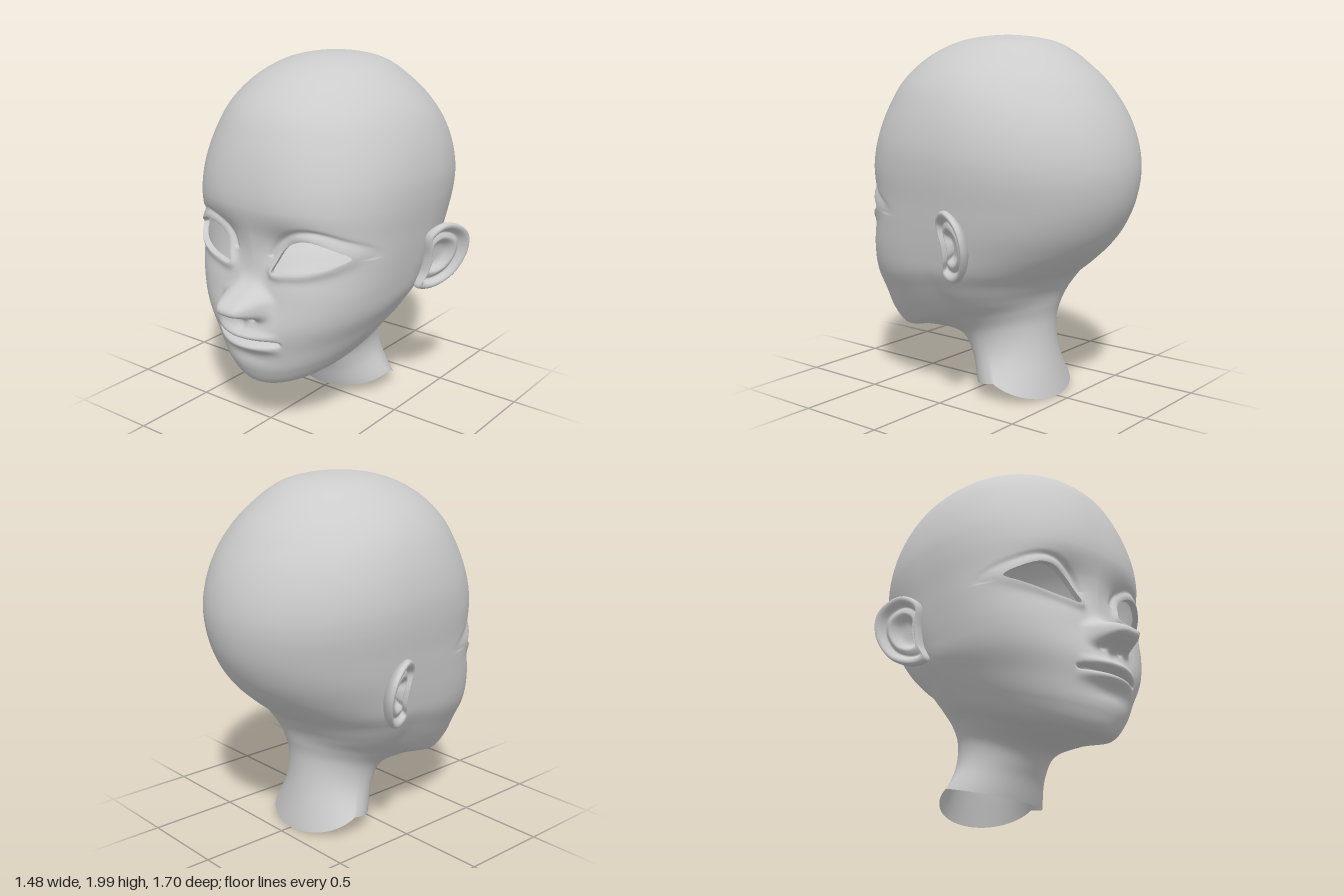
import * as THREE from 'three';
import { mergeVertices } from 'three/addons/utils/BufferGeometryUtils.js';

const material = new THREE.MeshStandardMaterial({ color: 0xcccccc, side: THREE.DoubleSide });

// Rings from crown to neck: front z,y | back z,y | side x,y,z | squareness of the front half
const RINGS = [
  [-0.13, 2.0, -0.13, 2.0, 0, 2.0, -0.13, 2],
  [0.14, 1.98, -0.39, 1.95, 0.24, 1.965, -0.13, 2],
  [0.35, 1.9, -0.6, 1.8, 0.41, 1.86, -0.13, 2.05],
  [0.51, 1.77, -0.72, 1.655, 0.53, 1.73, -0.13, 2.1],
  [0.596, 1.62, -0.795, 1.52, 0.6, 1.58, -0.13, 2.2],
  [0.65, 1.45, -0.84, 1.38, 0.635, 1.42, -0.12, 2.35],
  [0.668, 1.29, -0.85, 1.25, 0.636, 1.28, -0.11, 2.5],
  [0.64, 1.13, -0.825, 1.11, 0.615, 1.11, -0.08, 2.7],
  [0.635, 0.98, -0.765, 0.98, 0.597, 0.98, -0.05, 2.9],
  [0.66, 0.82, -0.68, 0.87, 0.575, 0.85, 0, 2.85],
  [0.69, 0.66, -0.57, 0.77, 0.55, 0.75, 0.02, 2.5],
  [0.685, 0.52, -0.49, 0.705, 0.5, 0.66, 0.02, 2.25],
  [0.665, 0.38, -0.44, 0.645, 0.45, 0.59, 0, 2.1],
  [0.59, 0.285, -0.41, 0.595, 0.39, 0.52, -0.02, 2],
  [0.41, 0.312, -0.39, 0.53, 0.31, 0.45, -0.05, 2],
  [0.2, 0.308, -0.372, 0.43, 0.25, 0.37, -0.1, 2],
  [0.1, 0.2, -0.382, 0.27, 0.248, 0.25, -0.14, 2],
  [0.035, 0.055, -0.43, 0.015, 0.31, 0.12, -0.22, 2],
];

// Outline of the left eye opening (x, y)
const EYE = new THREE.CatmullRomCurve3([
  [0.143, 0.957], [0.25, 0.961], [0.355, 0.98], [0.46, 1.02], [0.514, 1.063],
  [0.434, 1.122], [0.355, 1.15], [0.276, 1.14], [0.196, 1.085], [0.16, 1.015],
].map(([x, y]) => new THREE.Vector3(x, y, 0)), true).getPoints(60);

const gauss = (a, s) => Math.exp(-((a / s) ** 2));

// Signed distance to the eye outline, negative inside the opening
function eyeDistance(x, y, z) {
  x = Math.abs(x);
  if (z < 0.15 || y < 0.8 || y > 1.3) return 1;
  let best = 1, inside = false;
  for (let i = 0; i < EYE.length - 1; i++) {
    const a = EYE[i], b = EYE[i + 1], dx = b.x - a.x, dy = b.y - a.y;
    const t = THREE.MathUtils.clamp(((x - a.x) * dx + (y - a.y) * dy) / (dx * dx + dy * dy || 1), 0, 1);
    best = Math.min(best, Math.hypot(x - a.x - t * dx, y - a.y - t * dy));
    if ((a.y > y) !== (b.y > y) && x < a.x + ((y - a.y) / dy) * dx) inside = !inside;
  }
  return inside ? -best : best;
}

// Facial relief added to the smooth skull, measured along z
function relief(x, y, z) {
  const ax = Math.abs(x);
  const mask = THREE.MathUtils.smoothstep(z, 0.1, 0.3);
  if (!mask || y < 0.3 || y > 1.5) return 0;
  // eye sockets and lids
  let d = -0.055 * gauss(ax - 0.24, 0.15) * gauss(y - 1.08, 0.11);
  const e = eyeDistance(x, y, z);
  d += 0.022 * gauss(e, 0.03);
  if (y > 1.04) d -= 0.012 * gauss(e - 0.048, 0.014);
  // nose: narrow bridge opening into a broad tip
  const up = y - 0.78;
  const tip = up > 0 ? gauss(up, 0.072) : Math.exp(-((-up / 0.063) ** 3));
  const width = 0.125 - 0.045 * THREE.MathUtils.smoothstep(y, 0.8, 0.9);
  d += 0.182 * tip * Math.exp(-((ax / width) ** 4));
  d -= 0.045 * gauss(ax - 0.06, 0.026) * gauss(y - 0.718, 0.02);
  // muzzle, philtrum, lips and the line between them
  d += 0.03 * gauss(x, 0.17) * gauss(y - 0.61, 0.1);
  d -= 0.008 * gauss(x, 0.025) * gauss(y - 0.66, 0.03);
  const span = Math.max(0, 1 - (ax / 0.215) ** 2);
  d += span * (0.032 * gauss(y - 0.612, 0.026) + 0.034 * gauss(y - 0.543, 0.026));
  d -= 0.045 * Math.min(1, span * 3) * gauss(y - 0.579, 0.011);
  d -= 0.01 * gauss(x, 0.14) * gauss(y - 0.475, 0.035);
  return d * mask;
}

// Smooth interpolation between rings; the crown mirrors its first ring so it closes round
function ringAt(i, t) {
  const n = RINGS.length, r = RINGS[1];
  const mirrored = [r[2], r[3], r[0], r[1], -r[4], r[5], r[6], r[7]];
  const p1 = RINGS[i], p2 = RINGS[i + 1];
  const p0 = i ? RINGS[i - 1] : mirrored;
  const p3 = i + 2 < n ? RINGS[i + 2] : p2.map((v, k) => 2 * v - p1[k]);
  return p1.map((v, k) => 0.5 * (2 * v + (p2[k] - p0[k]) * t
    + (2 * p0[k] - 5 * v + 4 * p2[k] - p3[k]) * t * t
    + (3 * v - p0[k] - 3 * p2[k] + p3[k]) * t * t * t));
}

function headPoint(ring, theta) {
  const [fz, fy, bz, by, w, sy, sz, n] = ring;
  const c = Math.cos(theta), s = Math.sin(theta), k = Math.abs(c);
  const m = c > 0 ? n : 2;
  const r = 1 / (k ** m + Math.abs(s) ** m) ** (1 / m);
  const x = w * s * r;
  const y = sy + ((c > 0 ? fy : by) - sy) * k * r;
  const z = sz + ((c > 0 ? fz : bz) - sz) * k * r;
  return [x, y, z + (c > 0 ? relief(x, y, z) : 0)];
}

function smoothGeometry(positions) {
  let g = new THREE.BufferGeometry();
  g.setAttribute('position', new THREE.Float32BufferAttribute(positions, 3));
  g = mergeVertices(g, 1e-5);
  g.computeVertexNormals();
  return g;
}

// Calls back with the two triangles of every cell in a grid of points
function eachTriangle(grid, visit) {
  for (let i = 0; i < grid.length - 1; i++) {
    for (let j = 0; j < grid[i].length - 1; j++) {
      const a = grid[i][j], b = grid[i + 1][j], c = grid[i + 1][j + 1], d = grid[i][j + 1];
      visit([a, b, c]);
      visit([a, c, d]);
    }
  }
}

function buildHead(group) {
  const COLS = 200, grid = [];
  const addRow = (ring) => {
    const row = [];
    for (let j = 0; j < COLS; j++) {
      const phi = (j / COLS) * 2 * Math.PI - Math.PI;
      const p = headPoint(ring, phi - 0.6 * Math.sin(phi)); // denser at the face
      row.push([...p, eyeDistance(...p)]);
    }
    row.push(row[0]);
    grid.push(row);
  };
  for (let i = 0; i < RINGS.length - 1; i++) {
    const steps = i >= 6 && i < 12 ? 22 : 8;
    for (let s = 0; s < steps; s++) addRow(ringAt(i, s / steps));
  }
  addRow(RINGS[RINGS.length - 1]);

  // Cut the eye openings cleanly and give each edge a short inward rim
  const skin = [], rim = [];
  const inward = ([x, y, z]) => [x - Math.sign(x) * 0.008, y, z - 0.035];
  eachTriangle(grid, (tri) => {
    const poly = [], cut = [];
    tri.forEach((a, k) => {
      const b = tri[(k + 1) % 3];
      if (a[3] >= 0) poly.push(a);
      if ((a[3] >= 0) !== (b[3] >= 0)) {
        const t = a[3] / (a[3] - b[3]);
        const p = a.map((v, q) => v + (b[q] - v) * t);
        poly.push(p);
        cut.push({ p, leaving: a[3] >= 0 });
      }
    });
    for (let k = 1; k < poly.length - 1; k++) {
      for (const p of [poly[0], poly[k], poly[k + 1]]) skin.push(p[0], p[1], p[2]);
    }
    if (cut.length === 2) {
      const [a, b] = (cut[0].leaving ? [cut[0], cut[1]] : [cut[1], cut[0]]).map((q) => q.p.slice(0, 3));
      const c = inward(a), d = inward(b);
      for (const p of [b, a, c, b, c, d]) rim.push(...p);
    }
  });
  for (const [name, positions] of [['headAndNeck', skin], ['eyelidRims', rim]]) {
    const mesh = new THREE.Mesh(smoothGeometry(positions), material);
    mesh.name = name;
    group.add(mesh);
  }
}

function buildEar(side) {
  // Outline in (z, y); cross-section runs from the hollow over the rim to the back
  const outline = new THREE.CatmullRomCurve3([
    [-0.18, 0.73], [-0.295, 0.785], [-0.358, 0.92], [-0.34, 1.04], [-0.265, 1.105],
    [-0.18, 1.12], [-0.105, 1.06], [-0.125, 0.93], [-0.125, 0.83], [-0.1, 0.75],
  ].map(([z, y]) => new THREE.Vector3(0, y, z)), true).getPoints(56);
  const section = new THREE.SplineCurve([
    [0, -0.04], [0.3, -0.035], [0.5, 0.003], [0.62, 0], [0.72, -0.008], [0.84, 0.022],
    [0.95, 0.025], [1, 0.005], [0.95, -0.022], [0.7, -0.06], [0, -0.1],
  ].map(([r, h]) => new THREE.Vector2(r, h))).getPoints(40);
  const cz = -0.21, cy = 0.925;
  const grid = section.map(({ x: r, y: h }) => outline.map((o) => {
    const z = cz + (o.z - cz) * r, y = cy + (o.y - cy) * r;
    return [side * (0.6 + 0.45 * (-z - 0.12) + 0.2 * (y - 0.93) + h), y, z];
  }));
  const positions = [];
  eachTriangle(grid, ([a, b, c]) => positions.push(...(side > 0 ? [a, b, c] : [a, c, b]).flat()));
  const mesh = new THREE.Mesh(smoothGeometry(positions), material);
  mesh.name = side > 0 ? 'leftEar' : 'rightEar';
  return mesh;
}

export function createModel() {
  const group = new THREE.Group();
  group.name = 'dollHead';
  buildHead(group);
  group.add(buildEar(1), buildEar(-1));
  return group;
}
